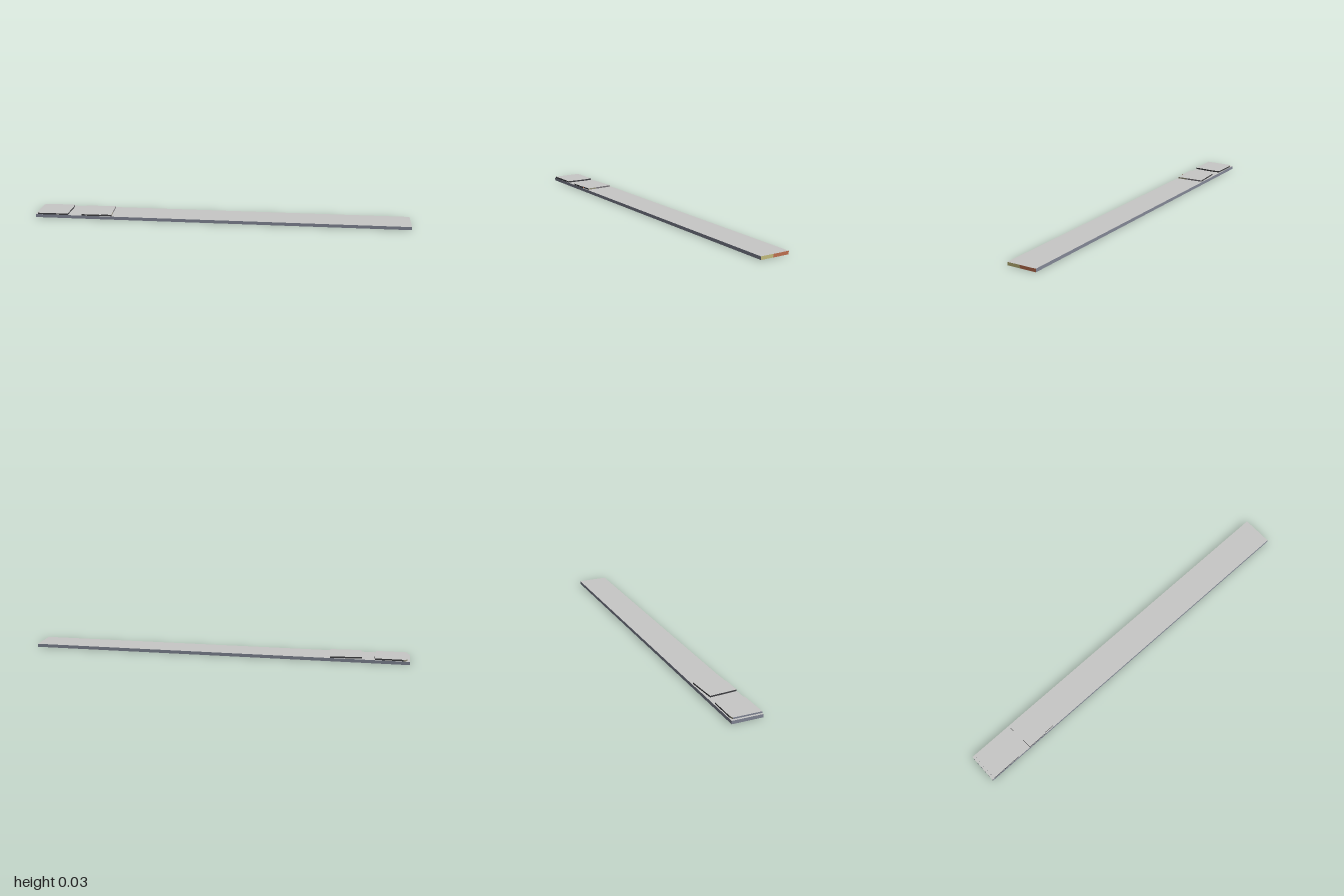
import * as THREE from 'three';

const paint = (name, color) => new THREE.MeshStandardMaterial({ name, color });

export function createModel() {
  const group = new THREE.Group();
  const materials = [
    paint('paleGrey', 0xc8c8c6),
    paint('slateBlue', 0x828796),
    paint('underside', 0x4a463c),
    paint('yellow', 0xc4bc7e),
    paint('orange', 0xc07050),
    paint('charcoal', 0x404044),
    paint('warmGrey', 0x98947f),
    paint('mauveGrey', 0x7a767c),
  ];
  const [PALE, SLATE, UNDER, YELLOW, ORANGE, CHARCOAL, WARM, MAUVE] = materials.keys();
  const H = 0.017;

  // Long flat board; its left end is split into two colours at z = 0.01
  const geo = new THREE.BoxGeometry(2, H, 0.162, 1, 1, 2);
  const pos = geo.attributes.position;
  for (let i = 0; i < pos.count; i++) {
    if (Math.abs(pos.getZ(i)) < 0.001) pos.setZ(i, 0.01);
  }
  geo.translate(0, H / 2, 0);
  geo.clearGroups();
  [[0, 6, YELLOW], [6, 6, ORANGE], [12, 12, SLATE], [24, 12, PALE], [36, 12, UNDER], [48, 12, SLATE]]
    .forEach(([start, count, m]) => geo.addGroup(start, count, m));
  const board = new THREE.Mesh(geo, materials);
  board.name = 'board';
  group.add(board);

  // Thin slab from corners [x, z, colour of the side that starts there]
  function slab(name, corners) {
    const shape = new THREE.Shape(corners.map(([x, z]) => new THREE.Vector2(x, -z)));
    const g = new THREE.ExtrudeGeometry(shape, { depth: 0.008, bevelEnabled: false });
    const caps = g.groups[0].count;
    const n = corners.length;
    g.clearGroups();
    g.addGroup(0, caps, PALE);
    // Side walls are stored from the last corner back to the first
    for (let e = 0; e < n; e++) {
      g.addGroup(caps + e * 6, 6, corners[(2 * n - 2 - e) % n][2]);
    }
    g.rotateX(-Math.PI / 2);
    g.translate(0, H, 0);
    const mesh = new THREE.Mesh(g, materials);
    mesh.name = name;
    group.add(mesh);
  }

  slab('endSlab', [
    [-0.988, 0.081, WARM], [-0.825, 0.079, CHARCOAL], [-0.821, -0.031, CHARCOAL],
    [-0.825, -0.074, CHARCOAL], [-0.967, -0.075, CHARCOAL], [-0.988, -0.069, SLATE],
  ]);
  slab('innerSlab', [
    [-0.748, 0.08, CHARCOAL], [-0.643, 0.08, CHARCOAL], [-0.643, 0.075, CHARCOAL],
    [-0.587, 0.075, MAUVE], [-0.589, 0.024, WARM], [-0.594, -0.075, CHARCOAL],
    [-0.71, -0.068, ORANGE], [-0.735, -0.066, CHARCOAL], [-0.757, -0.064, CHARCOAL],
  ]);
  return group;
}
